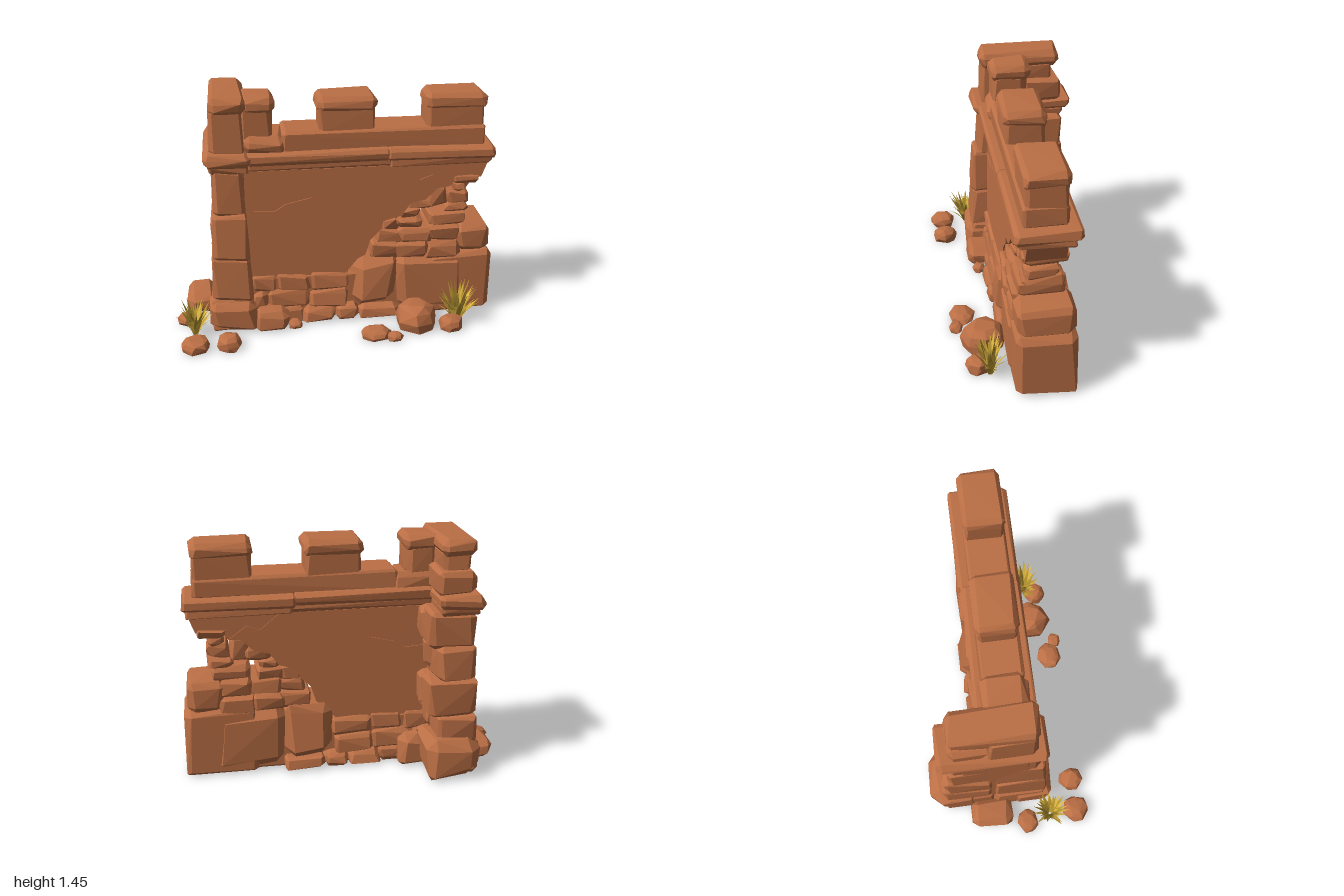
import * as THREE from 'three';
import { ConvexGeometry } from 'three/addons/geometries/ConvexGeometry.js';

const rock = new THREE.MeshStandardMaterial({ name: 'terracotta rock', color: 0xbb6f45, flatShading: true });
const straw = new THREE.MeshStandardMaterial({ name: 'straw grass', color: 0xdcb440, side: THREE.DoubleSide });
const olive = new THREE.MeshStandardMaterial({ name: 'olive grass', color: 0xb8962f, side: THREE.DoubleSide });

let seed = 7;
const rand = () => (seed = (seed * 16807) % 2147483647) / 2147483647;
const jit = a => (rand() * 2 - 1) * a;

function addRock(parent, name, geometry) {
  const mesh = new THREE.Mesh(geometry, rock);
  mesh.name = name;
  parent.add(mesh);
}

// Chiselled block: the hull of a box with chamfered, slightly uneven corners.
// taper = [x, z] scale of the top face.
function block(parent, name, [x0, x1], [y0, y1], [z0, z1], bevel = 0.02, rough = 0.008, taper = [1, 1]) {
  const c = [(x0 + x1) / 2, (y0 + y1) / 2, (z0 + z1) / 2];
  const h = [(x1 - x0) / 2, (y1 - y0) / 2, (z1 - z0) / 2];
  const pts = [];
  for (const sx of [-1, 1]) for (const sy of [-1, 1]) for (const sz of [-1, 1]) {
    const b = Math.min(bevel * (0.6 + rand()), ...h.map(v => v * 0.7));
    for (let axis = 0; axis < 3; axis++) {
      const p = [sx, sy, sz].map((s, i) => s * (h[i] - (i === axis ? 0 : b)) + jit(rough));
      const t = sy > 0 ? taper : [1, 1];
      pts.push(new THREE.Vector3(c[0] + p[0] * t[0], Math.max(0, c[1] + p[1]), c[2] + p[2] * t[1]));
    }
  }
  addRock(parent, name, new ConvexGeometry(pts));
}

// Loose rock resting on the ground
function boulder(parent, x, z, rx, rz, height) {
  const pts = [];
  for (const [y, s] of [[0, 0.9], [0.4, 1], [0.8, 0.85], [1, 0.5]]) {
    for (let i = 0; i < 7; i++) {
      const a = (i + jit(0.25)) / 7 * Math.PI * 2, r = s * (0.97 + jit(0.07));
      pts.push(new THREE.Vector3(x + Math.cos(a) * rx * r, y ? y * height + jit(0.006) : 0, z + Math.sin(a) * rz * r));
    }
  }
  addRock(parent, 'looseRock', new ConvexGeometry(pts));
}

// Upright slab cut from an outline, thicker towards the ground
function slab(parent, name, outline, half) {
  const shape = new THREE.Shape(outline.map(p => new THREE.Vector2(...p)));
  const geo = new THREE.ExtrudeGeometry(shape, { depth: half * 2, bevelEnabled: false });
  geo.translate(0, 0, -half);
  const p = geo.attributes.position;
  for (let i = 0; i < p.count; i++) p.setZ(i, p.getZ(i) * (1 + (1.03 - p.getY(i)) * 0.2));
  geo.computeVertexNormals();
  addRock(parent, name, geo);
}

// Tuft of pointed blades that fan outwards
function tuft(parent, name, x, z, rx, rz, height, count) {
  const group = new THREE.Group();
  group.name = name;
  for (const mat of [straw, olive]) {
    const pos = [];
    for (let i = 0; i < count; i++) {
      const a = (i + rand()) / count * Math.PI * 2, lean = 0.25 + 0.75 * rand(), w = 0.01 + 0.005 * rand();
      const tall = height * (0.5 + 0.5 * rand()) * (1 - 0.25 * lean);
      const at = (t, side) => [
        Math.cos(a) * rx * (0.06 + 0.94 * lean * t ** 1.2) - Math.sin(a) * w * side,
        tall * (1.3 * t - 0.3 * t * t),
        Math.sin(a) * rz * (0.06 + 0.94 * lean * t ** 1.2) + Math.cos(a) * w * side];
      const [A, B, C, D, T] = [at(0, -1), at(0, 1), at(0.5, -0.9), at(0.5, 0.9), at(1, 0)];
      pos.push(...A, ...B, ...D, ...A, ...D, ...C, ...C, ...D, ...T);
    }
    const geo = new THREE.BufferGeometry();
    geo.setAttribute('position', new THREE.Float32BufferAttribute(pos, 3));
    geo.computeVertexNormals();
    const mesh = new THREE.Mesh(geo, mat);
    mesh.name = 'blades';
    group.add(mesh);
  }
  group.position.set(x, 0, z);
  parent.add(group);
}

export function createModel() {
  seed = 7;
  const model = new THREE.Group();
  model.name = 'ruinedWall';
  const section = name => {
    const g = new THREE.Group();
    g.name = name;
    model.add(g);
    return g;
  };

  // Wall face with a ragged, broken lower right edge and a thin plaster skin
  const face = section('wallFace');
  const ragged = [[0.15, 0.4], [0.19, 0.42], [0.22, 0.52], [0.29, 0.59], [0.3, 0.64],
    [0.41, 0.67], [0.47, 0.75], [0.56, 0.77], [0.63, 0.84], [0.71, 0.85], [0.75, 0.9], [0.9, 0.9], [0.95, 1.03]];
  slab(face, 'wallSlab', [[-0.54, 0.28], [0.06, 0.29], ...ragged, [-0.54, 1.03]], 0.11);
  slab(face, 'plasterSkin', [[-0.52, 0.34], [-0.3, 0.31], [0.05, 0.33], ...ragged.slice(0, 10), [0.6, 0.93], [0.52, 0.9], [0.4, 1.0],
    [-0.5, 1.0], [-0.41, 0.92], [-0.39, 0.86], [-0.3, 0.8], [-0.13, 0.82], [-0.3, 0.78], [-0.36, 0.74], [-0.52, 0.75]], 0.116);

  // Exposed masonry courses at the foot of the wall: [x0, x1, y0, y1, back, front]
  const foot = section('footCourses');
  block(foot, 'footCore', [-0.55, 0.7], [0, 0.3], [-0.135, 0.135], 0.01, 0.003);
  const courses = [
    [-0.52, -0.4, 0, 0.09, 0.19, 0.2], [-0.4, -0.2, 0, 0.1, 0.19, 0.19], [-0.2, 0.0, 0, 0.09, 0.21, 0.21],
    [0.0, 0.15, 0, 0.1, 0.215, 0.21], [0.15, 0.4, 0, 0.09, 0.225, 0.2],
    [-0.52, -0.42, 0.08, 0.21, 0.17, 0.17], [-0.42, -0.16, 0.09, 0.21, 0.175, 0.17], [-0.16, 0.08, 0.08, 0.2, 0.195, 0.18],
    [-0.52, -0.36, 0.2, 0.31, 0.155, 0.155], [-0.36, -0.15, 0.2, 0.32, 0.15, 0.155], [-0.15, 0.1, 0.19, 0.31, 0.16, 0.155]];
  for (const [x0, x1, y0, y1, back, front] of courses)
    block(foot, 'courseStone', [x0, x1 - 0.002], [y0, y1], [-back, front], 0.02, 0.008, [1, 0.95]);
  block(foot, 'footBoulder', [0.08, 0.4], [0.06, 0.42], [-0.22, 0.2], 0.06, 0.012, [0.95, 0.85]);
  block(foot, 'backFootStone', [-0.49, -0.31], [0, 0.2], [-0.27, -0.12], 0.035);
  block(foot, 'frontFootStone', [-0.5, -0.3], [0, 0.12], [0.1, 0.285], 0.035);

  // Heaped stones under the broken corner
  const heap = section('brokenEnd');
  block(heap, 'largeBase', [0.36, 0.84], [0, 0.42], [-0.19, 0.185], 0.06, 0.01, [0.97, 0.95]);
  block(heap, 'endBase', [0.56, 0.995], [0, 0.42], [-0.185, 0.175], 0.03, 0.007, [0.98, 0.97]);
  block(heap, 'endCap', [0.74, 0.97], [0.4, 0.595], [-0.175, 0.165], 0.04, 0.008);
  const stones = [
    [0.22, 0.42, 0.4, 0.5, 0.15], [0.38, 0.58, 0.4, 0.5, 0.17], [0.56, 0.78, 0.38, 0.5, 0.17],
    [0.26, 0.42, 0.48, 0.57, 0.13], [0.4, 0.6, 0.48, 0.585, 0.15], [0.58, 0.78, 0.49, 0.6, 0.155],
    [0.28, 0.41, 0.56, 0.66, 0.11], [0.39, 0.54, 0.57, 0.65, 0.125], [0.59, 0.82, 0.59, 0.68, 0.135],
    [0.41, 0.53, 0.64, 0.71, 0.11], [0.46, 0.62, 0.69, 0.78, 0.1], [0.58, 0.7, 0.7, 0.85, 0.09],
    [0.69, 0.83, 0.67, 0.73, 0.115], [0.71, 0.84, 0.72, 0.81, 0.09], [0.74, 0.83, 0.8, 0.88, 0.1],
    [0.73, 0.9, 0.86, 0.92, 0.12]];
  for (const [x0, x1, y0, y1, d] of stones)
    block(heap, 'brokenStone', [x0, x1], [y0, y1], [-d + jit(0.01), d + jit(0.01)], 0.02, 0.01);

  // Ledge and parapet
  const top = section('parapet');
  block(top, 'lowerLedge', [-0.52, 0.34], [1.01, 1.07], [-0.155, 0.155], 0.012, 0.005);
  block(top, 'lowerLedge', [0.33, 0.95], [1.0, 1.07], [-0.155, 0.155], 0.012, 0.005);
  block(top, 'upperLedge', [-0.52, 0.33], [1.05, 1.12], [-0.175, 0.175], 0.015, 0.006);
  block(top, 'upperLedge', [0.31, 0.97], [1.045, 1.12], [-0.185, 0.175], 0.015, 0.006);
  block(top, 'parapetWall', [-0.31, 0.91], [1.1, 1.235], [-0.125, 0.125], 0.015, 0.005);
  for (const [x0, x1] of [[-0.09, 0.24], [0.56, 0.9]]) {
    block(top, 'merlon', [x0, x1], [1.2, 1.38], [-0.115, 0.11], 0.015, 0.005);
    block(top, 'merlonCap', [x0 - 0.01, x1 + 0.01], [1.34, 1.43], [-0.13, 0.12], 0.025, 0.006);
  }

  // Corner tower: tapering front pier and stacked back quoins
  const tower = section('cornerTower');
  block(tower, 'core', [-0.74, -0.52], [0, 1.08], [-0.34, 0.15], 0.02, 0.006, [0.95, 0.8]);
  const pier = [[0, 0.2, 0.25], [0.2, 0.47, 0.245], [0.46, 0.74, 0.23], [0.73, 1.02, 0.18]];
  for (const [y0, y1, d] of pier)
    block(tower, 'frontPier', [-0.77 + y0 * 0.055, -0.505 - y0 * 0.045], [y0, y1 + 0.01], [-0.12, d], 0.022, 0.007, [0.95, 0.86]);
  const quoins = [[0, 0.22, 0.43], [0.2, 0.38, 0.425], [0.36, 0.6, 0.405], [0.58, 0.81, 0.385], [0.79, 1.02, 0.365]];
  quoins.forEach(([y0, y1, d], i) => {
    block(tower, 'backQuoin', [-0.765 + y0 * 0.04, -0.46 - (i % 2) * 0.05], [y0, y1], [-d, -0.1], 0.025, 0.01);
    block(tower, 'innerQuoin', [-0.6, -0.44 - (i % 2) * 0.04], [y0 + 0.04, y1], [-0.22, -0.08], 0.025, 0.01);
  });
  block(tower, 'frontFoot', [-0.78, -0.5], [0, 0.19], [0.02, 0.275], 0.035, 0.01);
  block(tower, 'backFoot', [-0.77, -0.43], [0, 0.25], [-0.515, -0.2], 0.05, 0.01);
  block(tower, 'sideFoot', [-0.92, -0.74], [0, 0.12], [-0.26, 0.0], 0.03, 0.01);

  // Tower ledge and battlement
  block(tower, 'lowerLedge', [-0.75, -0.51], [1.0, 1.07], [-0.38, 0.165], 0.015);
  block(tower, 'upperLedge', [-0.77, -0.5], [1.05, 1.13], [-0.425, 0.205], 0.02);
  block(tower, 'battlementFront', [-0.74, -0.53], [1.11, 1.38], [-0.14, 0.15], 0.02, 0.008, [0.93, 0.92]);
  block(tower, 'battlementBack', [-0.74, -0.5], [1.11, 1.27], [-0.365, -0.12], 0.03, 0.01);
  block(tower, 'battlementNeck', [-0.71, -0.54], [1.24, 1.38], [-0.31, -0.1], 0.02);
  block(tower, 'battlementCap', [-0.73, -0.52], [1.35, 1.45], [-0.355, 0.15], 0.03, 0.007);
  block(tower, 'sideMerlon', [-0.56, -0.36], [1.18, 1.39], [-0.115, 0.1], 0.025, 0.008);
  block(tower, 'sideMerlonCap', [-0.55, -0.345], [1.34, 1.44], [-0.135, 0.11], 0.03, 0.008);
  block(tower, 'fallenStone', [-0.54, -0.29], [1.1, 1.21], [-0.14, 0.135], 0.03, 0.01);

  // Loose rocks and grass
  const ground = section('groundRocks');
  for (const r of [[-0.91, 0.1, 0.085, 0.07, 0.06], [-0.87, 0.42, 0.09, 0.09, 0.07], [-0.67, 0.42, 0.08, 0.085, 0.08],
    [-0.26, 0.23, 0.05, 0.045, 0.04], [0.22, 0.4, 0.1, 0.085, 0.05], [0.33, 0.45, 0.055, 0.045, 0.04],
    [0.49, 0.295, 0.13, 0.145, 0.15], [0.7, 0.36, 0.08, 0.075, 0.08]]) boulder(ground, ...r);
  tuft(model, 'leftGrass', -0.875, 0.25, 0.125, 0.13, 0.28, 26);
  tuft(model, 'rightGrass', 0.75, 0.29, 0.155, 0.11, 0.32, 34);
  return model;
}
